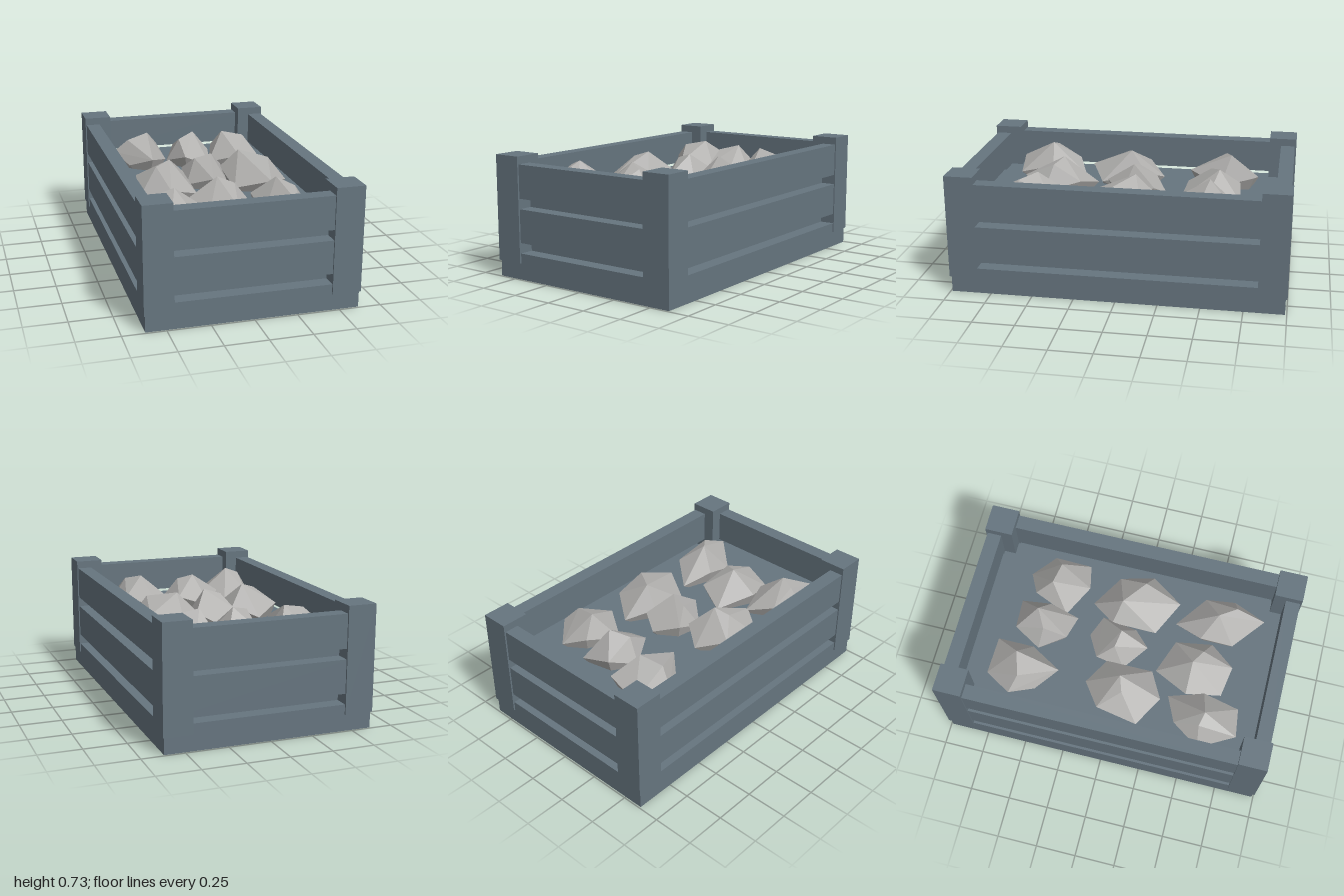
import * as THREE from 'three';
import { ConvexGeometry } from 'three/addons/geometries/ConvexGeometry.js';

export function createModel() {
  const crate = new THREE.MeshStandardMaterial({ color: 0x66757f });
  crate.name = 'slate paint';
  const stone = new THREE.MeshStandardMaterial({ color: 0xb0afad });
  stone.name = 'pale stone';
  const model = new THREE.Group();
  model.name = 'crateOfRocks';

  // Box given by its lower and upper corners
  function box(name, x0, x1, y0, y1, z0, z1) {
    const mesh = new THREE.Mesh(new THREE.BoxGeometry(x1 - x0, y1 - y0, z1 - z0), crate);
    mesh.position.set((x0 + x1) / 2, (y0 + y1) / 2, (z0 + z1) / 2);
    mesh.name = name;
    model.add(mesh);
  }

  const W = 0.618, D = 0.99, T = 0.088;

  // Hollow base: a floor plate carried by a thin skirt
  box('basePlate', -W, W, 0.145, 0.157, -D, D);
  // Raised bed that the rocks rest on
  box('bed', -W + T, W - T, 0.157, 0.466, -D + T, D - T);

  for (const s of [-1, 1]) {
    const span = (a, b) => (s > 0 ? [a, b] : [-b, -a]);
    box('sideSkirt', ...span(W - 0.006, W), 0, 0.145, -D, D);
    box('endSkirt', -W + 0.006, W - 0.006, 0, 0.145, ...span(D - 0.006, D));
    // Two rows of slats on every side
    for (const y of [0.22, 0.482]) {
      box('sideSlat', ...span(W - T, W), y, y + 0.2, -0.85, 0.85);
      box('endSlat', -0.48, 0.48, y, y + 0.2, ...span(D - T, D));
    }
    // Corner posts
    for (const z of [[-1, -0.83], [0.83, 1]]) box('cornerPost', ...span(0.455, 0.625), 0.098, 0.728, ...z);
  }

  // Faceted rock: widest outline as [x, z], then two crown points as [x, z]
  function rock(outline, crown) {
    const n = outline.length;
    const cx = outline.reduce((a, p) => a + p[0], 0) / n;
    const cz = outline.reduce((a, p) => a + p[1], 0) / n;
    const points = [];
    outline.forEach(([x, z], i) => {
      points.push(new THREE.Vector3(x, i % 2 ? 0.55 : 0.49, z));
      if (i % 2) points.push(new THREE.Vector3(cx + (x - cx) * 0.6, 0.36, cz + (z - cz) * 0.6));
    });
    crown.forEach(([x, z], i) => points.push(new THREE.Vector3(x, i ? 0.635 : 0.665, z)));
    const mesh = new THREE.Mesh(new ConvexGeometry(points), stone);
    mesh.name = 'rock';
    model.add(mesh);
  }

  // Back row
  rock([[-0.37, -0.77], [-0.16, -0.75], [-0.14, -0.54], [-0.27, -0.34], [-0.4, -0.46], [-0.48, -0.6]],
    [[-0.25, -0.6], [-0.39, -0.56]]);
  rock([[-0.14, -0.51], [-0.06, -0.67], [0.14, -0.69], [0.14, -0.5], [0.11, -0.32], [-0.05, -0.35]],
    [[0.05, -0.55], [-0.06, -0.49]]);
  rock([[0.33, -0.68], [0.19, -0.61], [0.12, -0.4], [0.3, -0.29], [0.47, -0.33], [0.45, -0.55]],
    [[0.24, -0.51], [0.38, -0.49]]);
  // Middle row
  rock([[-0.28, -0.17], [-0.44, -0.06], [-0.47, 0.19], [-0.3, 0.3], [-0.12, 0.21], [-0.14, -0.07]],
    [[-0.25, 0.04], [-0.34, 0.07]]);
  rock([[0.02, -0.22], [-0.13, -0.14], [-0.14, 0.03], [0, 0.15], [0.12, 0.05], [0.13, -0.16]],
    [[0.03, -0.02], [-0.07, -0.04]]);
  rock([[0.23, -0.25], [0.11, -0.1], [0.13, 0.17], [0.33, 0.28], [0.49, 0.08], [0.41, -0.12]],
    [[0.22, -0.06], [0.38, 0.05]]);
  // Front row
  rock([[-0.25, 0.34], [-0.42, 0.41], [-0.52, 0.58], [-0.42, 0.79], [-0.23, 0.77], [-0.2, 0.55]],
    [[-0.35, 0.58], [-0.43, 0.56]]);
  rock([[-0.11, 0.23], [-0.23, 0.44], [-0.17, 0.65], [0, 0.68], [0.14, 0.53], [0.08, 0.31]],
    [[-0.06, 0.44], [0.03, 0.49]]);
  rock([[0.22, 0.28], [0.14, 0.45], [0.16, 0.65], [0.34, 0.81], [0.45, 0.61], [0.4, 0.43]],
    [[0.27, 0.53], [0.35, 0.63]]);

  return model;
}
